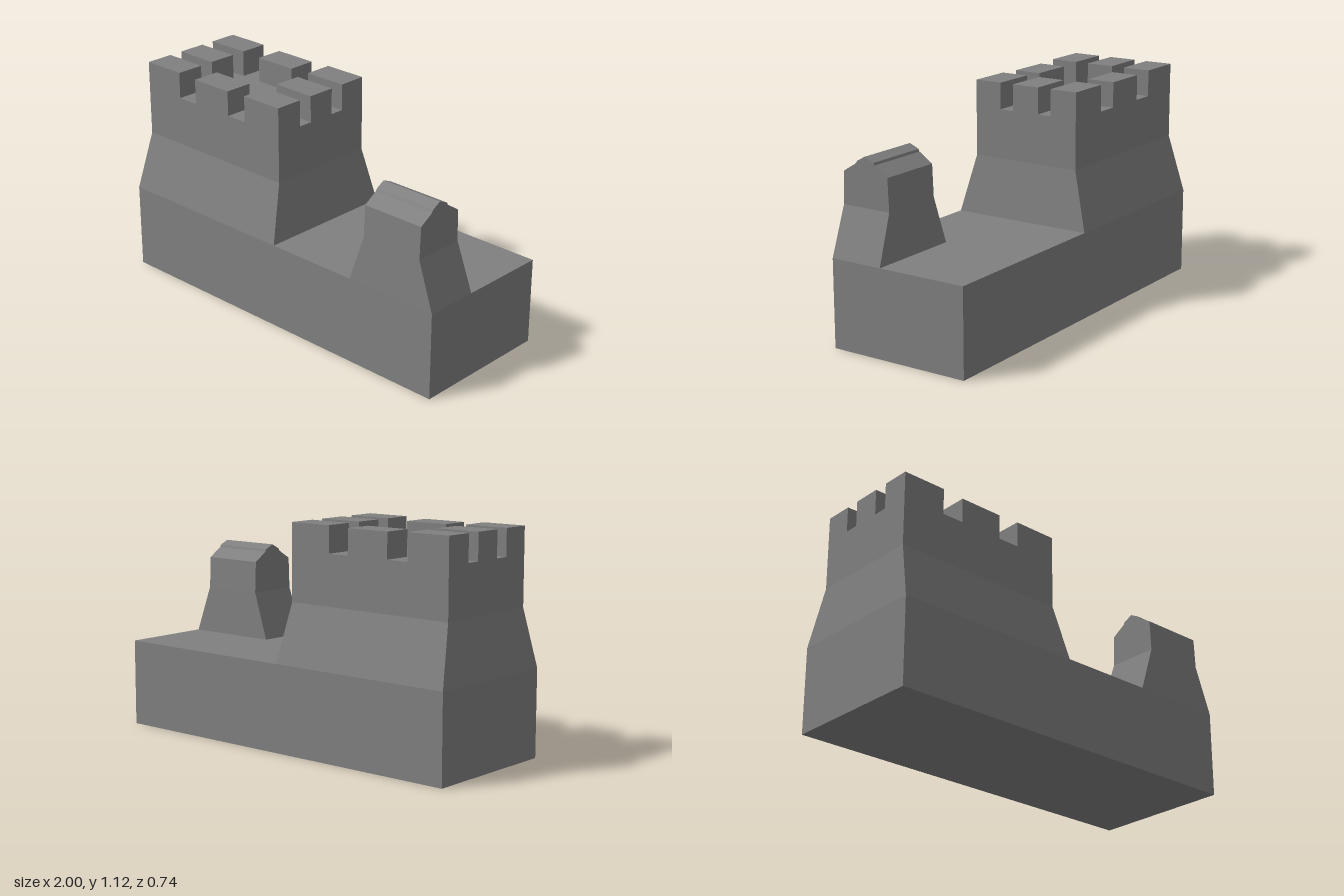
import * as THREE from 'three';

// Tapering block from stacked rectangles [y, x0, x1, z0, z1], closed on top
function loft(sections) {
  const pos = [];
  const rings = sections.map(([y, x0, x1, z0, z1]) => [[x0, y, z1], [x1, y, z1], [x1, y, z0], [x0, y, z0]]);
  const quad = (a, b, c, d) => pos.push(...a, ...b, ...c, ...a, ...c, ...d);
  for (let i = 0; i < rings.length - 1; i++) {
    const lo = rings[i], hi = rings[i + 1];
    for (let k = 0; k < 4; k++) {
      const n = (k + 1) % 4;
      quad(lo[k], lo[n], hi[n], hi[k]);
    }
  }
  quad(...rings[rings.length - 1]);
  const g = new THREE.BufferGeometry();
  g.setAttribute('position', new THREE.Float32BufferAttribute(pos, 3));
  g.computeVertexNormals();
  return g;
}

export function createModel() {
  const model = new THREE.Group();
  model.name = 'castle';
  const stone = new THREE.MeshStandardMaterial({ color: 0x808080 });
  stone.name = 'grey stone';

  const add = (name, geometry, parent = model) => {
    const mesh = new THREE.Mesh(geometry, stone);
    mesh.name = name;
    parent.add(mesh);
    return mesh;
  };

  // Base block
  add('base', new THREE.BoxGeometry(2, 0.44, 0.742).translate(0, 0.22, 0));

  // Keep with battered foot and straight upper walls
  add('keep', loft([
    [0.44, -1, 0, -0.371, 0.371],
    [0.735, -0.966, -0.036, -0.293, 0.293],
    [0.986, -0.966, -0.036, -0.293, 0.293],
  ]));

  // Merlons around the rim, none in the middle
  const battlements = new THREE.Group();
  battlements.name = 'battlements';
  model.add(battlements);
  const columns = [[-0.966, -0.734], [-0.618, -0.384], [-0.268, -0.036]];
  const rows = [[-0.293, -0.147], [-0.074, 0.073], [0.147, 0.293]];
  columns.forEach(([x0, x1], i) => rows.forEach(([z0, z1], j) => {
    if (i === 1 && j === 1) return;
    const top = i === 1 ? 1.114 : 1.12;
    add('merlon', loft([[0.986, x0, x1, z0, z1], [top, x0, x1, z0, z1]]), battlements);
  }));

  // Turret foot, flared sideways
  add('turretFoot', loft([
    [0.44, 0.5, 1, 0.093, 0.371],
    [0.68, 0.582, 0.915, 0.1, 0.366],
  ]));

  // Turret walls and ridged roof, one profile (z, y) extruded along x
  const profile = [
    [0.366, 0.68], [0.36, 0.84], [0.29, 0.883], [0.279, 0.898], [0.235, 0.922],
    [0.185, 0.9], [0.18, 0.888], [0.107, 0.84], [0.1, 0.68],
  ];
  const shape = new THREE.Shape(profile.map(([z, y]) => new THREE.Vector2(-z, y)));
  const turret = new THREE.ExtrudeGeometry(shape, { depth: 0.333, bevelEnabled: false });
  add('turretTop', turret.rotateY(Math.PI / 2).translate(0.582, 0, 0));

  return model;
}
